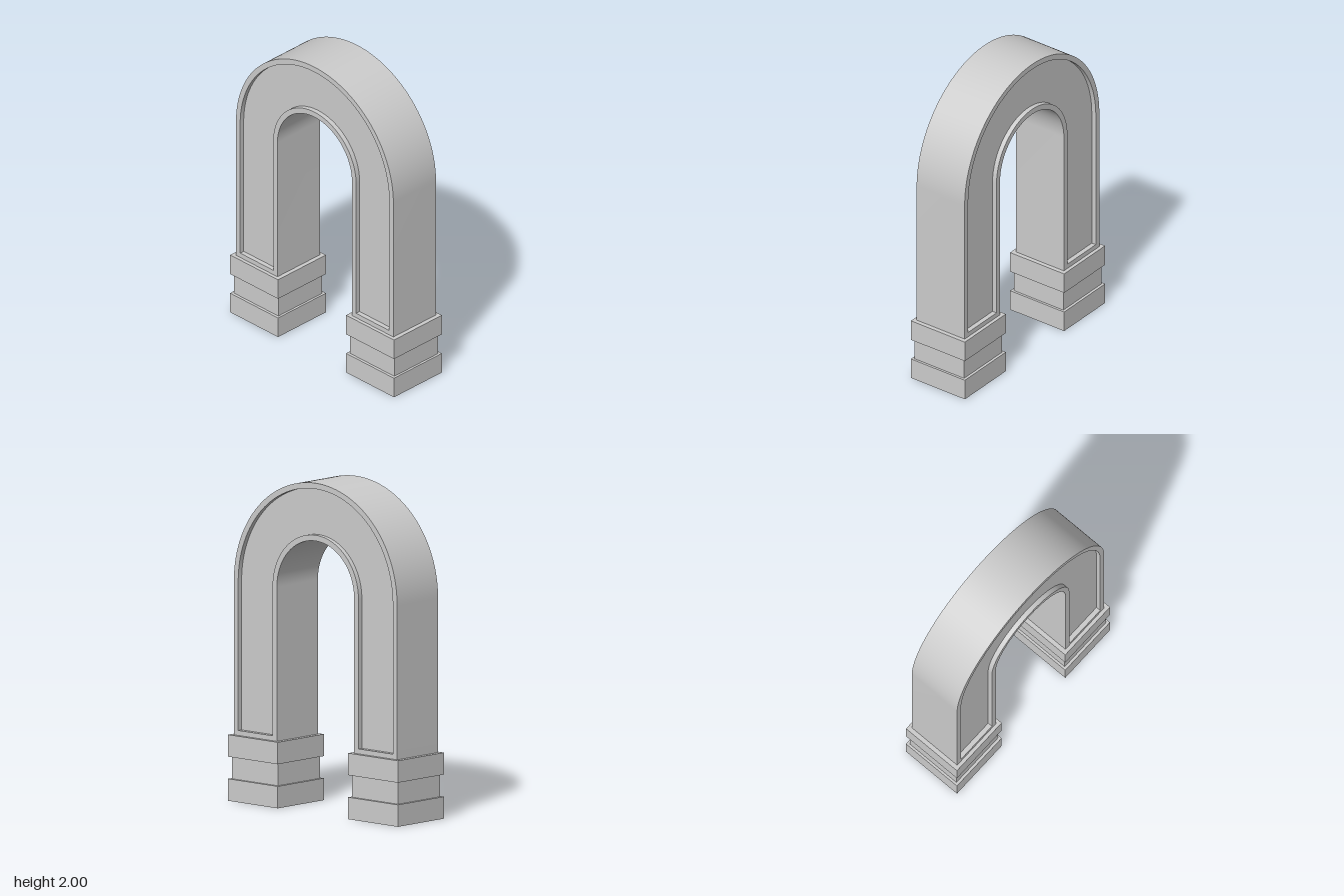
import * as THREE from 'three';
import { toCreasedNormals } from 'three/addons/utils/BufferGeometryUtils.js';

const material = new THREE.MeshStandardMaterial({ color: 0xcccccc });
const SPRING = 1.335; // height where the straight legs meet the round top

// Counter-clockwise upside-down U between two radii, standing on the given base height
function traceArch(path, outer, inner, base) {
  path.moveTo(outer, base);
  path.lineTo(outer, SPRING);
  path.absarc(0, SPRING, outer, 0, Math.PI, false);
  path.lineTo(-outer, base);
  path.lineTo(-inner, base);
  path.lineTo(-inner, SPRING);
  path.absarc(0, SPRING, inner, Math.PI, 0, true);
  path.lineTo(inner, base);
  path.closePath();
  return path;
}

function extrude(name, shape, depth) {
  const geometry = new THREE.ExtrudeGeometry(shape, { depth, bevelEnabled: false, curveSegments: 48 });
  geometry.translate(0, 0, -depth / 2);
  const mesh = new THREE.Mesh(toCreasedNormals(geometry, 0.5), material);
  mesh.name = name;
  return mesh;
}

function box(name, width, height, depth, y) {
  const mesh = new THREE.Mesh(new THREE.BoxGeometry(width, height, depth), material);
  mesh.name = name;
  mesh.position.y = y;
  return mesh;
}

export function createModel() {
  const model = new THREE.Group();
  model.name = 'archway';

  // Raised border around the arch, open where the panels sit
  const border = traceArch(new THREE.Shape(), 0.665, 0.315, 0.4);
  border.holes.push(traceArch(new THREE.Path(), 0.63, 0.35, 0.43));
  model.add(extrude('archBorder', border, 0.36));

  // Core filling the border, its faces recessed front and back
  model.add(extrude('recessedPanel', traceArch(new THREE.Shape(), 0.63, 0.35, 0.43), 0.3));

  // Stepped foot under each leg
  for (const side of [1, -1]) {
    const foot = new THREE.Group();
    foot.name = side > 0 ? 'leftFoot' : 'rightFoot';
    foot.position.x = side * 0.49;
    foot.add(
      box('lowerBand', 0.405, 0.133, 0.405, 0.0665),
      box('neck', 0.375, 0.134, 0.37, 0.2),
      box('upperBand', 0.405, 0.133, 0.405, 0.3335)
    );
    model.add(foot);
  }
  return model;
}
